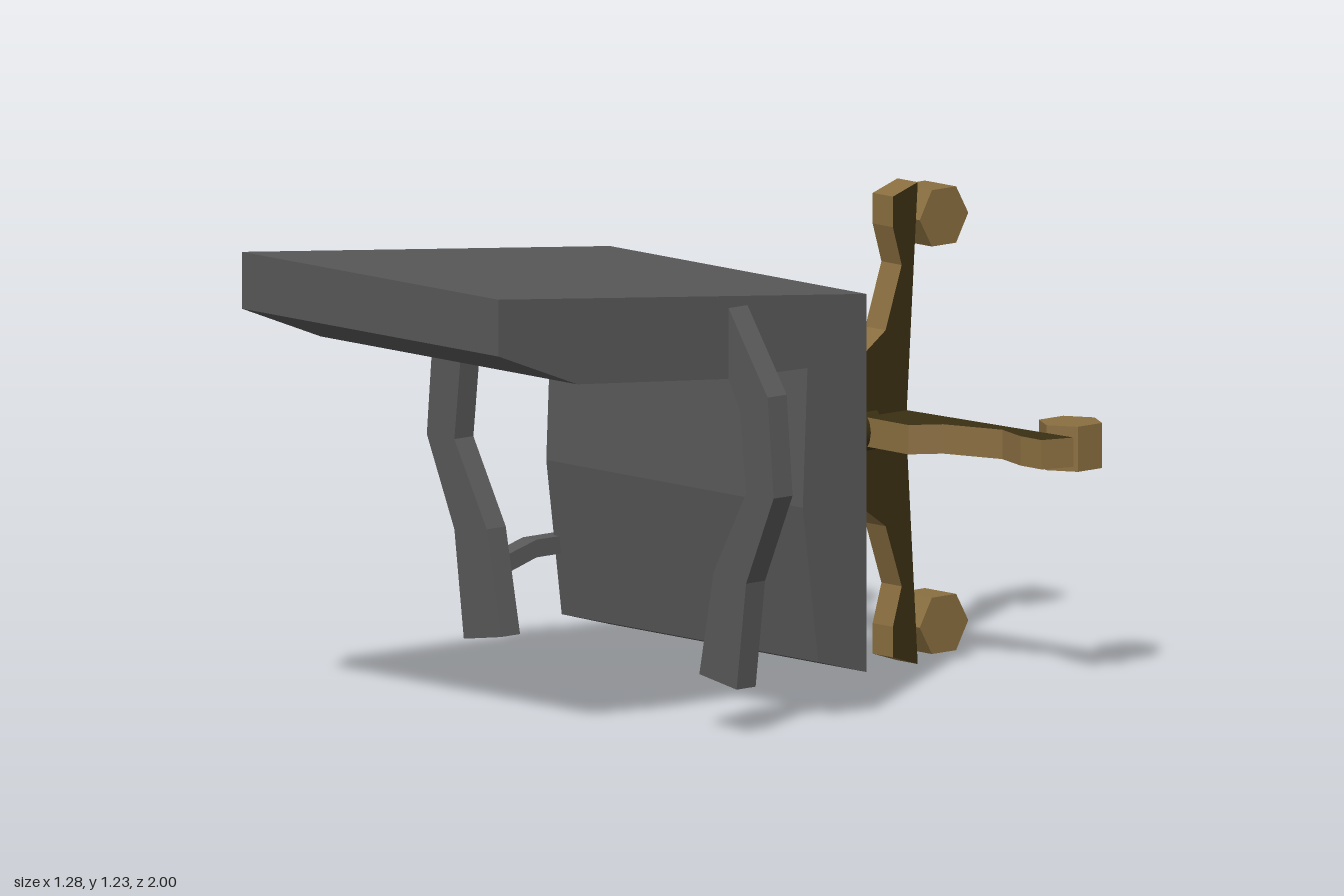
import * as THREE from 'three';

const mat = (name, color) => {
  const m = new THREE.MeshStandardMaterial({ color });
  m.name = name;
  return m;
};

// Extrusion of a 2D outline, centred on its depth
function slab(points, depth) {
  const shape = new THREE.Shape(points.map(([x, y]) => new THREE.Vector2(x, y)));
  const geo = new THREE.ExtrudeGeometry(shape, { depth, bevelEnabled: false });
  return geo.translate(0, 0, -depth / 2);
}

// Outline given as (z, y), extruded across x
const sideSlab = (points, width) => slab(points, width).rotateY(-Math.PI / 2);

export function createModel() {
  const grey = mat('grey upholstery', 0x595959);
  const tan = mat('tan metal', 0x8a6e40);
  const olive = mat('dark olive metal', 0x3a2f12);
  const model = new THREE.Group();
  model.name = 'tippedChair';

  const add = (name, geo, material, x = 0, y = 0, z = 0, parent = model) => {
    const mesh = new THREE.Mesh(geo, material);
    mesh.name = name;
    mesh.position.set(x, y, z);
    parent.add(mesh);
    return mesh;
  };

  // Seat and backrest: one folded slab
  add('seatAndBackrest', sideSlab([
    [1, 1.205], [-0.26, 1.07], [-0.26, 0.105], [-0.095, 0.15], [-0.042, 0.55],
    [-0.058, 0.905], [0.22, 0.91], [0.73, 0.957], [1, 1.06],
  ], 0.95), grey);

  // Bowed armrests
  const armOutline = [
    [0.45, 1.115], [0.475, 1.09], [0.62, 0.88], [0.642, 0.625], [0.54, 0.395], [0.505, 0.12],
    [0.367, 0.142], [0.42, 0.41], [0.54, 0.625], [0.517, 0.835], [0.475, 0.907], [0.45, 0.95],
  ];
  for (const s of [1, -1]) {
    add(s > 0 ? 'leftArmrest' : 'rightArmrest',
      slab(armOutline.map(([x, y]) => [x * s, y]), 0.065), grey, 0, 0, 0.18);
  }

  // Single arched link from the right armrest to the seat edge
  add('armrestLink', sideSlab([
    [0.16, 0.315], [0.01, 0.355], [-0.12, 0.355], [-0.26, 0.31],
    [-0.26, 0.265], [-0.12, 0.31], [0.01, 0.31], [0.16, 0.267],
  ], 0.05), grey, -0.48);

  // Star base: pole, two crossed bars and four casters
  const base = new THREE.Group();
  base.name = 'starBase';
  base.position.y = 0.615;
  model.add(base);

  const pole = new THREE.CylinderGeometry(0.066, 0.066, 0.45, 16).rotateX(Math.PI / 2);
  add('pole', pole, olive, -0.005, 0, -0.475, base);

  const half = [[-0.84, 0.615], [-0.755, 0.588], [-0.755, 0.51], [-0.785, 0.41],
    [-0.73, 0.25], [-0.658, 0.2]];
  const barOutline = [...half, ...half.map(([z, y]) => [z, -y]).reverse(), [-0.8, 0]];
  const barGeo = sideSlab(barOutline, 0.075);
  const wheelGeo = new THREE.CylinderGeometry(0.083, 0.083, 0.115, 6).toNonIndexed();
  wheelGeo.computeVertexNormals();

  for (const [name, turn] of [['upright', 0], ['crosswise', Math.PI / 2]]) {
    const arm = new THREE.Group();
    arm.name = name + 'Legs';
    arm.rotation.z = turn;
    base.add(arm);
    // Flat sides are olive, the edges tan
    add(name + 'Bar', barGeo, [olive, tan], 0, 0, 0, arm);
    for (const s of [1, -1]) {
      const wheel = add(name + 'Caster', wheelGeo, tan, turn ? 0 : -0.006, s * 0.52, -0.917, arm);
      wheel.rotation.z = Math.PI / 2;
    }
  }
  return model;
}
